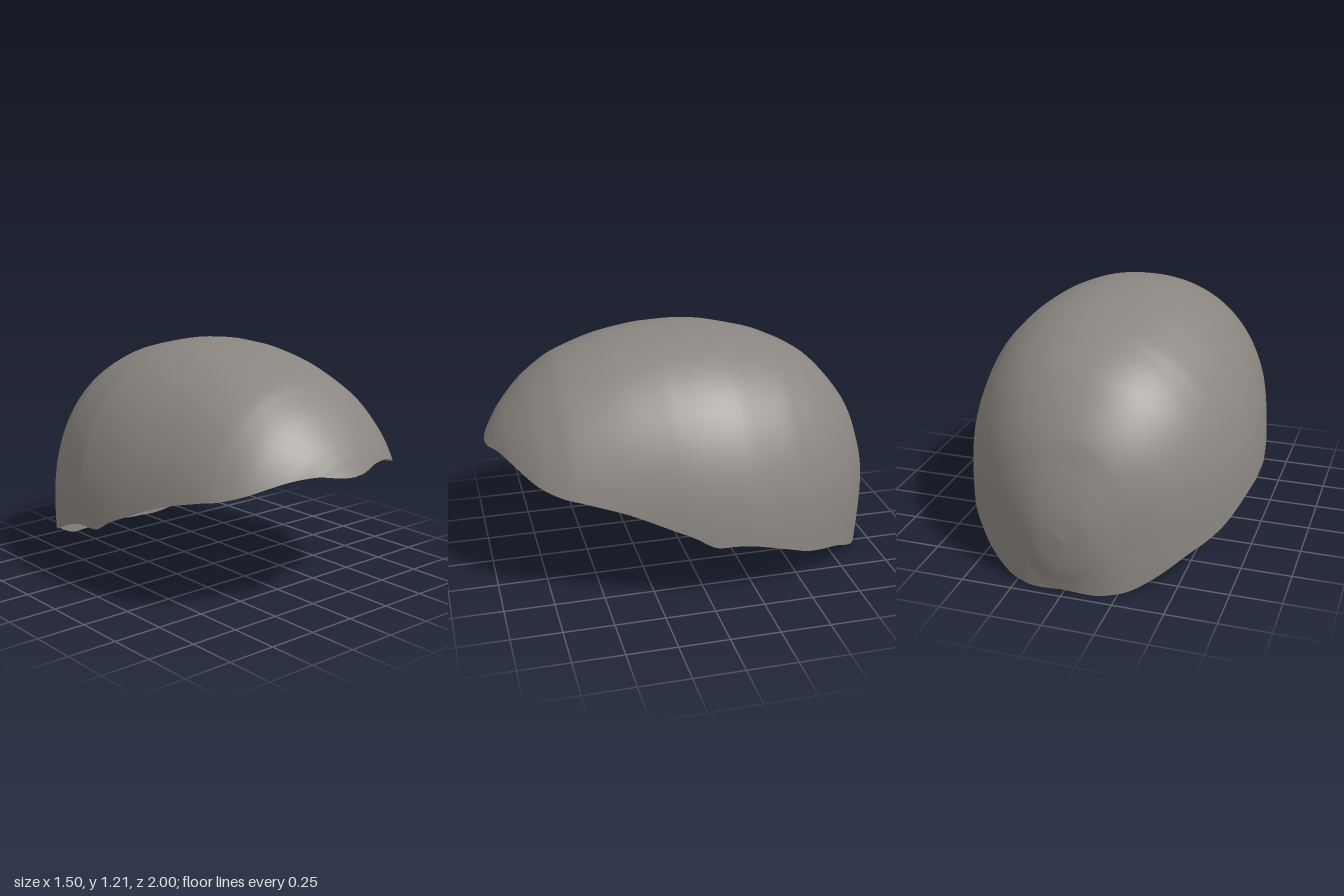
import * as THREE from 'three';

// Stations from front to back: z, crown height, half width, depth below the widest line, rim height
const stations = [
  [1, 0.69, 0.28, 1, 0.69], [0.975, 0.735, 0.32, 1, 0.705], [0.95, 0.78, 0.36, 1, 0.713],
  [0.9, 0.85, 0.45, 1, 0.70], [0.8, 0.96, 0.555, 1, 0.645], [0.7, 1.04, 0.613, 1, 0.61],
  [0.6, 1.10, 0.647, 1, 0.59], [0.4, 1.17, 0.69, 1, 0.535], [0.2, 1.205, 0.725, 1, 0.45],
  [0.1, 1.21, 0.74, 1, 0.405], [0, 1.212, 0.747, 1, 0.347], [-0.1, 1.205, 0.748, 1, 0.34],
  [-0.2, 1.19, 0.742, 1, 0.325], [-0.4, 1.14, 0.69, 1, 0.25], [-0.5, 1.10, 0.65, 1, 0.205],
  [-0.6, 1.05, 0.60, 1, 0.175], [-0.7, 0.98, 0.53, 0.97, 0.14], [-0.8, 0.87, 0.44, 0.9, 0.08],
  [-0.88, 0.755, 0.335, 0.75, 0.02], [-0.93, 0.63, 0.25, 0.55, 0.002], [-0.96, 0.54, 0.19, 0.29, 0.01],
  [-0.985, 0.43, 0.12, 0.17, 0.13], [-1, 0.3, 0, 0, 0.3],
];
const WIDEST_Y = 0.3;
const POWER = 2.2; // roundness of each cross-section

const signedPow = (v, p) => Math.sign(v) * Math.pow(Math.abs(v), p);
const spline = (a, b, c) => new THREE.CatmullRomCurve3(
  stations.map((s) => new THREE.Vector3(s[a], s[b], s[c])), false, 'catmullrom', 0.5);

// Loft of superellipse arches, each cut off at the wavy rim
function shellGeometry(rows = 132, cols = 96) {
  const upper = spline(0, 1, 2);
  const lower = spline(0, 3, 4);
  const positions = [];
  const indices = [];
  for (let i = 0; i <= rows; i++) {
    const { x: z, y: top, z: width } = upper.getPoint(i / rows);
    const { y: depth, z: rim } = lower.getPoint(i / rows);
    const height = Math.max(top - WIDEST_Y, 0);
    const drop = Math.max(depth, 0);
    const reach = (rim - WIDEST_Y) / Math.max(rim > WIDEST_Y ? height : drop, 1e-4);
    const end = Math.acos(THREE.MathUtils.clamp(signedPow(reach, POWER / 2), -1, 1));
    for (let j = 0; j <= cols; j++) {
      const t = end * (2 * j / cols - 1);
      const c = signedPow(Math.cos(t), 2 / POWER);
      positions.push(
        Math.max(width, 0) * signedPow(Math.sin(t), 2 / POWER),
        WIDEST_Y + c * (c > 0 ? height : drop),
        z);
      if (i < rows && j < cols) {
        const a = i * (cols + 1) + j;
        const b = a + cols + 1;
        indices.push(a, a + 1, b, a + 1, b + 1, b);
      }
    }
  }
  const geometry = new THREE.BufferGeometry();
  geometry.setAttribute('position', new THREE.Float32BufferAttribute(positions, 3));
  geometry.setIndex(indices);
  geometry.computeVertexNormals();
  return geometry;
}

export function createModel() {
  const group = new THREE.Group();
  group.name = 'skullCap';
  const material = new THREE.MeshStandardMaterial({ color: 0x8b8680, side: THREE.DoubleSide });
  material.name = 'warm grey';
  const shell = new THREE.Mesh(shellGeometry(), material);
  shell.name = 'capShell';
  group.add(shell);
  return group;
}
